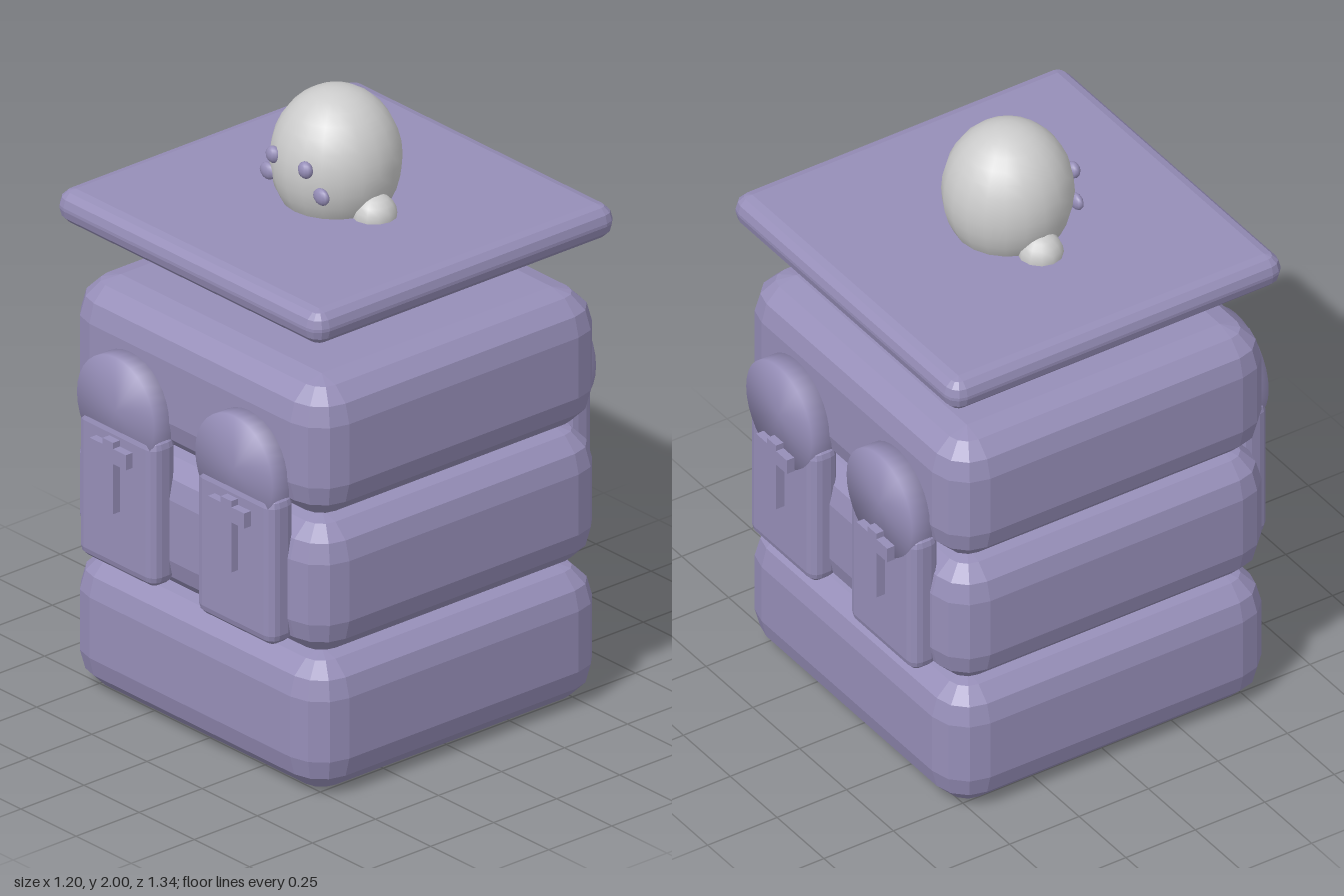
import * as THREE from 'three';
import { mergeVertices } from 'three/addons/utils/BufferGeometryUtils.js';
import { ConvexGeometry } from 'three/addons/geometries/ConvexGeometry.js';

const purple = new THREE.MeshStandardMaterial({ name: 'dustyPurple', color: 0x968eb8 });
const grey = new THREE.MeshStandardMaterial({ name: 'paleGrey', color: 0xcccccc });

function add(parent, name, geometry, material, x, y, z) {
  const mesh = new THREE.Mesh(geometry, material);
  mesh.name = name;
  mesh.position.set(x, y, z);
  parent.add(mesh);
  return mesh;
}

// Box with faceted round edges: the hull of a small sphere at every corner
function bevelBox(w, h, d, r) {
  const pos = new THREE.SphereGeometry(r, 12, 6).attributes.position;
  const points = [];
  for (const sx of [-1, 1]) for (const sy of [-1, 1]) for (const sz of [-1, 1]) {
    for (let i = 0; i < pos.count; i++) {
      const p = new THREE.Vector3().fromBufferAttribute(pos, i);
      if (p.x * sx < -1e-6 || p.y * sy < -1e-6 || p.z * sz < -1e-6) continue;
      points.push(p.add(new THREE.Vector3(sx * (w / 2 - r), sy * (h / 2 - r), sz * (d / 2 - r))));
    }
  }
  return new ConvexGeometry(points);
}

// Short disc facing z, with normals blended over its rim
function softDisc(radius, depth) {
  const g = new THREE.CylinderGeometry(radius, radius, depth, 32).rotateX(Math.PI / 2);
  g.deleteAttribute('uv');
  g.deleteAttribute('normal');
  const merged = mergeVertices(g, 1e-4);
  merged.computeVertexNormals();
  return merged;
}

function ellipsoid(rx, ry, rz, w, h) {
  return new THREE.SphereGeometry(1, w, h).scale(rx, ry, rz);
}

export function createModel() {
  const model = new THREE.Group();
  model.name = 'stackedTower';

  // Three cushion-like blocks
  const block = bevelBox(1.16, 0.45, 1.16, 0.125);
  ['lowerBlock', 'middleBlock', 'upperBlock'].forEach((name, i) =>
    add(model, name, block, purple, 0, 0.23 + i * 0.453, 0));

  // Floating slab
  add(model, 'topSlab', bevelBox(1.2, 0.11, 1.2, 0.05), purple, 0, 1.585, 0);

  // Two tablets with crosses on the front and two on the back
  const body = bevelBox(0.35, 0.49, 0.1, 0.035);
  const disc = softDisc(0.175, 0.1);
  const upright = new THREE.BoxGeometry(0.048, 0.236, 0.05);
  const arm = new THREE.BoxGeometry(0.058, 0.05, 0.05);
  for (const side of [1, -1]) {
    const face = new THREE.Group();
    face.name = side > 0 ? 'frontTablets' : 'backTablets';
    face.rotation.y = side > 0 ? 0 : Math.PI;
    model.add(face);
    for (const x of [-0.268, 0.268]) {
      const tablet = new THREE.Group();
      tablet.name = 'tablet';
      tablet.position.x = x;
      face.add(tablet);
      add(tablet, 'tabletBody', body, purple, 0, 0.745, side > 0 ? 0.594 : 0.59);
      add(tablet, 'tabletTop', disc, purple, 0, 1.035, side > 0 ? 0.59 : 0.594);
      add(tablet, 'crossUpright', upright, purple, 0, 0.828, 0.646);
      for (const s of [-1, 1]) add(tablet, 'crossArm', arm, purple, s * 0.053, 0.901, 0.646);
    }
  }

  // Round creature on the slab
  const creature = new THREE.Group();
  creature.name = 'creature';
  model.add(creature);
  add(creature, 'creatureBody', ellipsoid(0.2, 0.23, 0.2, 20, 16), grey, 0, 1.77, 0);
  for (const s of [-1, 1]) {
    add(creature, 'foot', ellipsoid(0.07, 0.07, 0.07, 12, 10), grey, s * 0.174, 1.642, 0);
    add(creature, 'upperEye', ellipsoid(0.027, 0.027, 0.02, 12, 8), purple, s * 0.073, 1.81, 0.185);
    add(creature, 'lowerEye', ellipsoid(0.032, 0.027, 0.017, 12, 8), purple, s * 0.121, 1.732, 0.164);
  }

  return model;
}
